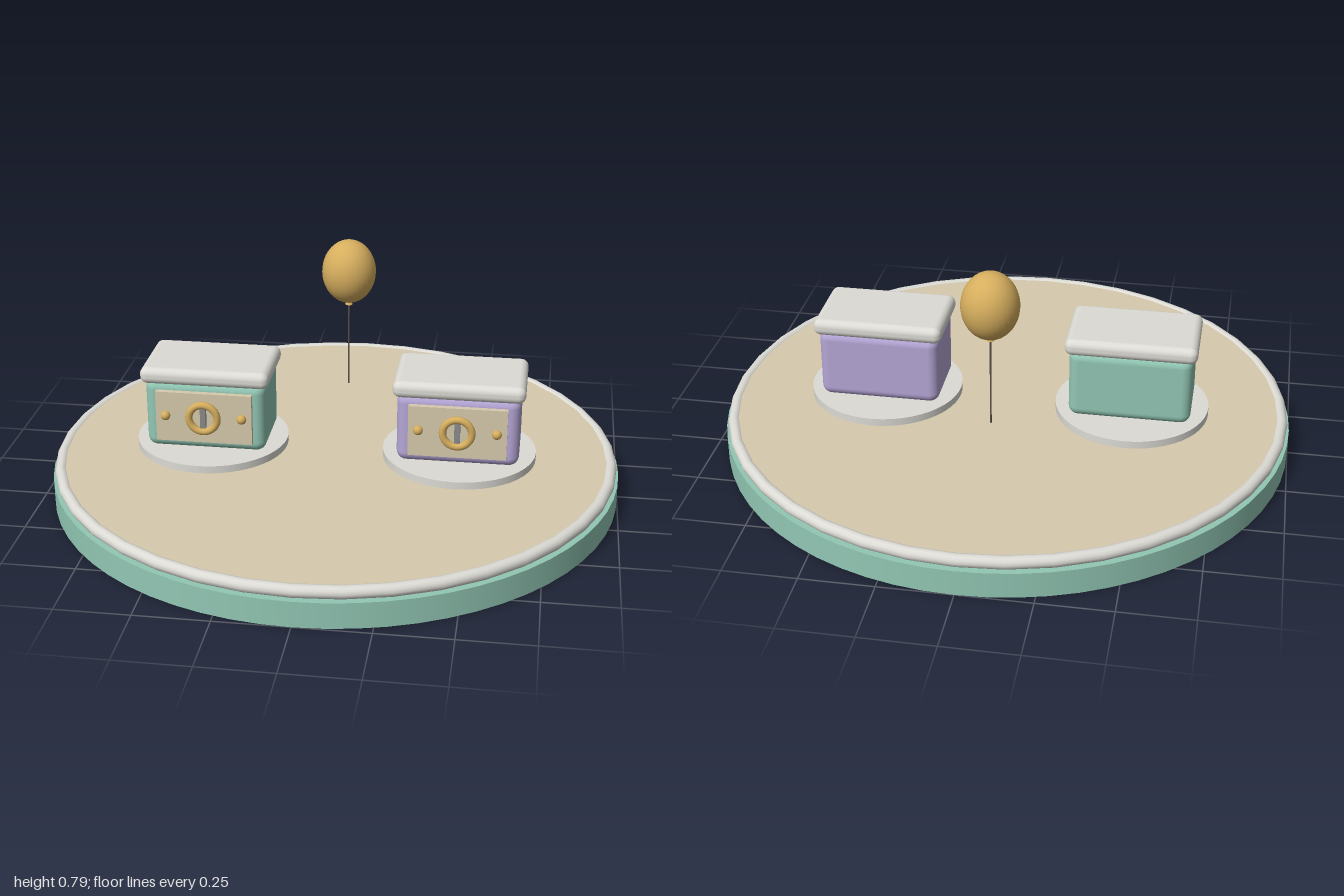
import * as THREE from 'three';
import { RoundedBoxGeometry } from 'three/addons/geometries/RoundedBoxGeometry.js';

const mat = (name, color) => Object.assign(new THREE.MeshStandardMaterial({ color }), { name });

export function createModel() {
  const teal = mat('teal', 0x92c7b4), lilac = mat('lilac', 0xb5a6d6), sand = mat('sand', 0xd6caad);
  const white = mat('off white', 0xdcdbd5), gold = mat('gold', 0xd6ae5e);
  const grey = mat('slot grey', 0x8b8a8c), dark = mat('string brown', 0x5a5048);

  const add = (parent, name, geometry, material, x = 0, y = 0, z = 0) => {
    const mesh = new THREE.Mesh(geometry, material);
    mesh.name = name;
    mesh.position.set(x, y, z);
    parent.add(mesh);
    return mesh;
  };

  const model = new THREE.Group();
  model.name = 'roundPlaza';

  // Round platform with a rolled rim
  add(model, 'platformBase', new THREE.CylinderGeometry(1, 1, 0.09, 64), teal, 0, 0.045);
  add(model, 'platformFloor', new THREE.CylinderGeometry(0.97, 0.97, 0.04, 64), sand, 0, 0.108);
  add(model, 'platformRim', new THREE.TorusGeometry(0.971, 0.022, 12, 40), white, 0, 0.112).rotation.x = Math.PI / 2;

  // Two matching boxes, each on a round pad
  const makeBox = (name, x, bodyMaterial) => {
    const box = new THREE.Group();
    box.name = name;
    box.position.x = x;
    add(box, 'pad', new THREE.CylinderGeometry(0.27, 0.27, 0.03, 48), white, 0, 0.14);
    add(box, 'body', new RoundedBoxGeometry(0.425, 0.255, 0.27, 4, 0.035), bodyMaterial, 0, 0.28);
    add(box, 'lid', new RoundedBoxGeometry(0.455, 0.06, 0.295, 4, 0.026), white, 0, 0.425);
    add(box, 'frontPanel', new THREE.BoxGeometry(0.34, 0.185, 0.03), sand, 0, 0.283, 0.139);
    add(box, 'dialRing', new THREE.TorusGeometry(0.05, 0.013, 12, 32), gold, 0, 0.288, 0.165);
    add(box, 'dialSlot', new THREE.BoxGeometry(0.02, 0.078, 0.016), grey, 0, 0.288, 0.16);
    for (const side of [-1, 1])
      add(box, 'knob', new THREE.SphereGeometry(0.017, 16, 12), gold, side * 0.135, 0.288, 0.157);
    model.add(box);
  };
  makeBox('rightBox', -0.445, teal);
  makeBox('leftBox', 0.44, lilac);

  // Balloon with knot and string
  const balloon = new THREE.Group();
  balloon.name = 'balloon';
  balloon.position.z = -0.345;
  add(balloon, 'balloonBody', new THREE.SphereGeometry(0.098, 32, 24), gold, 0, 0.673).scale.y = 1.2;
  add(balloon, 'balloonKnot', new THREE.ConeGeometry(0.014, 0.022, 16), gold, 0, 0.556);
  add(balloon, 'balloonString', new THREE.CylinderGeometry(0.003, 0.003, 0.325, 8), dark, 0, 0.3925);
  model.add(balloon);

  return model;
}
